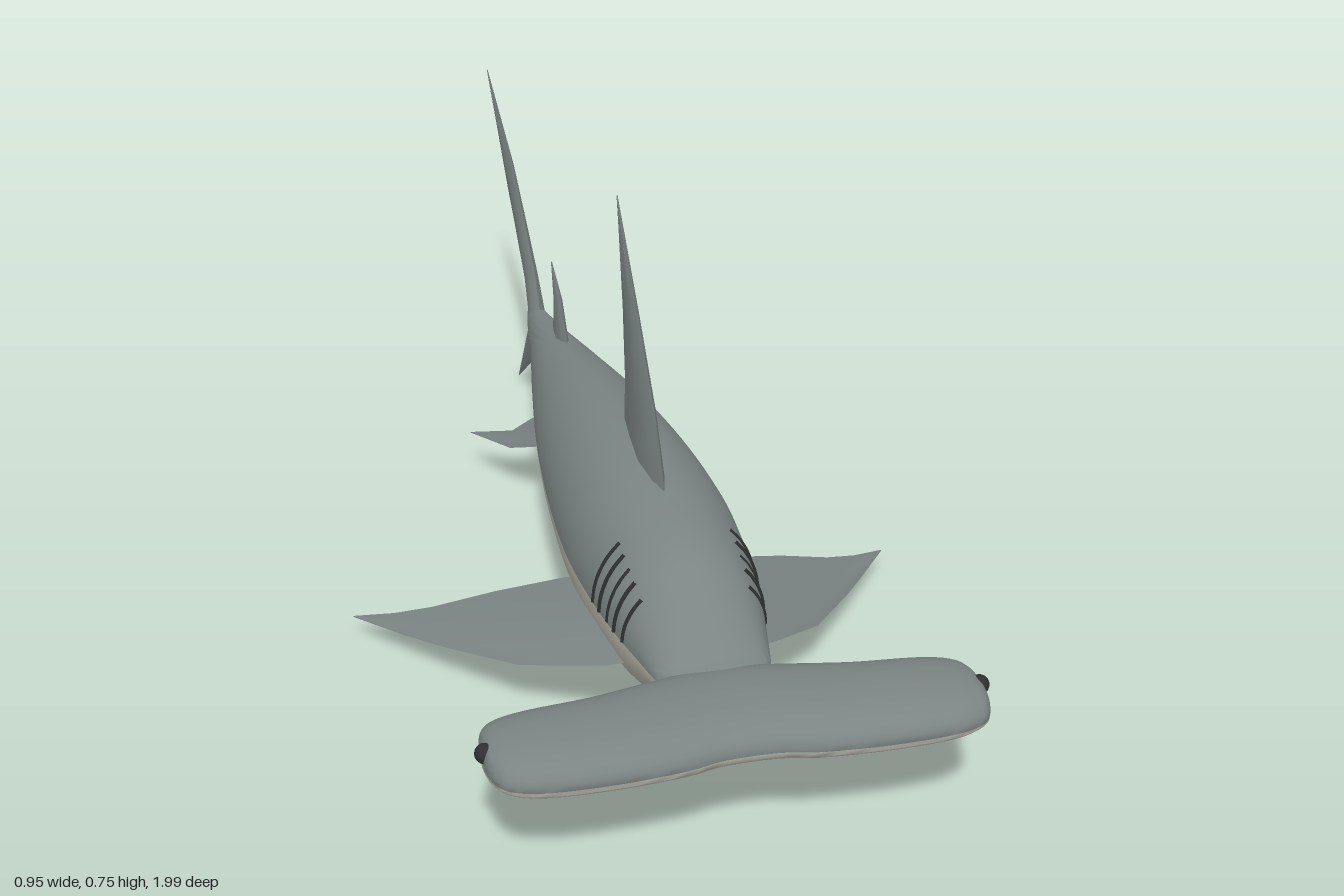
import * as THREE from 'three';
import { toCreasedNormals } from 'three/addons/utils/BufferGeometryUtils.js';

const mat = (name, color) => new THREE.MeshStandardMaterial({ name, color });
const V = (x, y, z) => new THREE.Vector3(x, y, z);

// Smoothly resample a table of section rows
function resample(rows, n) {
  const cols = rows[0].map((_, k) =>
    new THREE.SplineCurve(rows.map((r, i) => new THREE.Vector2(i, r[k]))).getPoints(n).map(p => p.y));
  return cols[0].map((_, i) => cols.map(c => c[i]));
}

// Capped skin over closed rings; first half of each ring is group 0, second half group 1
function loft(rings, crease) {
  const n = rings[0].length, pts = rings.flat(), halves = [[], []];
  rings.forEach((r, i) => {
    if (i === rings.length - 1) return;
    for (let j = 0; j < n; j++) {
      const k = (j + 1) % n, a = i * n + j, b = i * n + k, c = a + n, d = b + n;
      halves[j < n / 2 ? 0 : 1].push(a, c, d, a, d, b);
    }
  });
  [0, rings.length - 1].forEach(i => {
    const centre = rings[i].reduce((s, p) => s.add(p), V(0, 0, 0)).divideScalar(n);
    const m = pts.push(centre) - 1;
    for (let j = 0; j < n; j++) {
      const a = i * n + j, b = i * n + (j + 1) % n;
      halves[j < n / 2 ? 0 : 1].push(...(i ? [m, b, a] : [m, a, b]));
    }
  });
  // Turn the skin outward if its volume is negative
  let vol = 0;
  const all = halves.flat(), cross = V(0, 0, 0);
  for (let i = 0; i < all.length; i += 3)
    vol += pts[all[i]].dot(cross.crossVectors(pts[all[i + 1]], pts[all[i + 2]]));
  if (vol < 0) for (let i = 0; i < all.length; i += 3) [all[i + 1], all[i + 2]] = [all[i + 2], all[i + 1]];
  const g = new THREE.BufferGeometry().setFromPoints(pts);
  g.setIndex(all);
  g.addGroup(0, halves[0].length, 0);
  g.addGroup(halves[0].length, halves[1].length, 1);
  return toCreasedNormals(g, crease);
}

// Fin with lens sections: rows of [leading point, trailing point, half thickness]
function finGeometry(rows, normal) {
  const lens = [[0, 0], [0.15, 0.65], [0.4, 1], [0.75, 0.5], [1, 0], [0.75, -0.5], [0.4, -1], [0.15, -0.65]];
  return loft(rows.map(([lead, trail, t]) => lens.map(([u, h]) =>
    V(...lead).lerp(V(...trail), u).addScaledVector(normal, h * t))), 0.75);
}

// Body sections: z, half width, top y, bottom y
const BELLY_LINE = 0.218;
const BODY = [
  [0.805, 0.07, 0.243, 0.185], [0.78, 0.088, 0.253, 0.165], [0.71, 0.104, 0.298, 0.125],
  [0.63, 0.12, 0.343, 0.09], [0.52, 0.134, 0.362, 0.077], [0.38, 0.141, 0.37, 0.071],
  [0.2, 0.131, 0.362, 0.081], [0.0, 0.108, 0.338, 0.107], [-0.2, 0.074, 0.302, 0.138],
  [-0.38, 0.04, 0.268, 0.163], [-0.5, 0.021, 0.248, 0.183], [-0.55, 0.01, 0.232, 0.2],
];
function bodyPoint([z, w, top, bottom], a) {
  const s = Math.sin(a);
  return V(w * Math.cos(a), BELLY_LINE + s * (s > 0 ? top - BELLY_LINE : BELLY_LINE - bottom), z);
}

// Head sections: x, back z, front z, top y, bottom y
const HEAD_HALF = [
  [0.376, 0.88, 0.92, 0.222, 0.2], [0.37, 0.845, 0.95, 0.234, 0.194], [0.35, 0.823, 0.976, 0.243, 0.186],
  [0.3, 0.812, 0.991, 0.25, 0.179], [0.2, 0.802, 0.994, 0.252, 0.176], [0.1, 0.782, 0.987, 0.252, 0.174],
  [0.04, 0.772, 0.975, 0.252, 0.174],
];
const HEAD_LINE = 0.208;
const signedPow = (v, e) => Math.sign(v) * Math.abs(v) ** e;
function headPoint([x, back, front, top, bottom], a) {
  const s = signedPow(Math.sin(a), 0.88), c = signedPow(Math.cos(a), 0.88);
  return V(x, HEAD_LINE + s * (s > 0 ? top - HEAD_LINE : HEAD_LINE - bottom),
    (back + front) / 2 - c * (front - back) / 2);
}

export function createModel() {
  const skin = mat('grey skin', 0x7a8482), belly = mat('pale belly', 0xb3b2a8), dark = mat('dark detail', 0x2e3130);
  const model = new THREE.Group();
  const add = (name, geometry, material) => {
    const mesh = new THREE.Mesh(geometry, material);
    mesh.name = name;
    model.add(mesh);
    return mesh;
  };
  const ring = (row, fn, n = 40) => Array.from({ length: n }, (_, j) => fn(row, j / n * Math.PI * 2));

  // Body and wide flat head, pale below the side line
  const bodyRows = resample(BODY, 55);
  add('body', loft(bodyRows.map(r => ring(r, bodyPoint)), 0.9), [skin, belly]);
  const headRows = resample([...HEAD_HALF, ...HEAD_HALF.map(([x, ...r]) => [-x, ...r]).reverse()], 52);
  add('head', loft(headRows.map(r => ring(r, headPoint, 32)), 0.9), [skin, belly]);

  // Upright fins on the centre line: rows of [lead z, lead y, trail z, trail y, half thickness]
  const uprightFins = {
    dorsalFin: [[0.5, 0.33, 0.215, 0.33, 0.018], [0.48, 0.365, 0.218, 0.365, 0.017],
      [0.42, 0.465, 0.217, 0.45, 0.013], [0.3, 0.595, 0.2, 0.56, 0.009], [0.157, 0.745, 0.157, 0.743, 0.001]],
    secondDorsalFin: [[-0.2, 0.26, -0.355, 0.25, 0.012], [-0.225, 0.29, -0.352, 0.28, 0.011],
      [-0.28, 0.365, -0.345, 0.33, 0.007], [-0.362, 0.407, -0.363, 0.405, 0.001]],
    analFin: [[-0.23, 0.18, -0.375, 0.185, 0.012], [-0.255, 0.15, -0.378, 0.155, 0.01],
      [-0.33, 0.085, -0.39, 0.115, 0.006], [-0.42, 0.045, -0.421, 0.047, 0.001]],
    upperTailFin: [[-0.47, 0.24, -0.55, 0.208, 0.017], [-0.525, 0.313, -0.6, 0.25, 0.014],
      [-0.62, 0.385, -0.69, 0.315, 0.011], [-0.745, 0.472, -0.785, 0.388, 0.008], [-1, 0.582, -1, 0.58, 0.001]],
    lowerTailFin: [[-0.47, 0.2, -0.55, 0.222, 0.014], [-0.515, 0.15, -0.575, 0.188, 0.011],
      [-0.56, 0.1, -0.622, 0.122, 0.008], [-0.702, 0, -0.703, 0.002, 0.001]],
  };
  for (const [name, rows] of Object.entries(uprightFins))
    add(name, finGeometry(rows.map(([lz, ly, tz, ty, t]) => [[0, ly, lz], [0, ty, tz], t]), V(1, 0, 0)), skin);

  // Paired parts
  for (const [side, m] of [['left', 1], ['right', -1]]) {
    const pair = rows => finGeometry(rows.map(([a, b, t]) =>
      [[a[0] * m, a[1], a[2]], [b[0] * m, b[1], b[2]], t]), V(0.35 * m, 0.94, 0));
    add(side + 'PectoralFin', pair([
      [[0.08, 0.185, 0.67], [0.08, 0.178, 0.4], 0.018], [[0.13, 0.16, 0.635], [0.14, 0.165, 0.375], 0.016],
      [[0.25, 0.11, 0.53], [0.25, 0.126, 0.33], 0.011], [[0.35, 0.073, 0.395], [0.35, 0.082, 0.285], 0.007],
      [[0.41, 0.054, 0.31], [0.41, 0.06, 0.255], 0.004], [[0.475, 0.041, 0.222], [0.475, 0.042, 0.22], 0.001],
    ]), skin);
    add(side + 'PelvicFin', pair([
      [[0.05, 0.175, -0.08], [0.04, 0.165, -0.22], 0.01], [[0.085, 0.14, -0.125], [0.075, 0.145, -0.225], 0.008],
      [[0.12, 0.108, -0.19], [0.105, 0.115, -0.245], 0.005], [[0.175, 0.088, -0.305], [0.175, 0.089, -0.306], 0.001],
    ]), skin);

    const eye = add(side + 'Eye', new THREE.SphereGeometry(0.015, 16, 12), dark);
    eye.position.set(0.372 * m, 0.223, 0.9);

    // Five gill slits following the flank
    [0.665, 0.635, 0.605, 0.575, 0.545].forEach((z, i) => {
      const row = bodyRows.reduce((a, b) => Math.abs(b[0] - z) < Math.abs(a[0] - z) ? b : a);
      const path = new THREE.CatmullRomCurve3([0, 0.2, 0.4, 0.6, 0.8].map(u => {
        const p = bodyPoint(row, 0.02 + u * (0.9 + 0.03 * i));
        return V(p.x * m, p.y, z);
      }));
      add(side + 'Gill' + (i + 1), new THREE.TubeGeometry(path, 12, 0.0035, 6), dark);
    });
  }

  // Curved mouth under the head
  const mouth = new THREE.CatmullRomCurve3(
    [[-0.08, 0.835], [-0.055, 0.868], [0, 0.885], [0.055, 0.868], [0.08, 0.835]].map(([x, z]) => V(x, 0.174 + (z < 0.85 ? 0.003 : 0), z)));
  add('mouth', new THREE.TubeGeometry(mouth, 24, 0.0035, 6), dark);
  return model;
}
